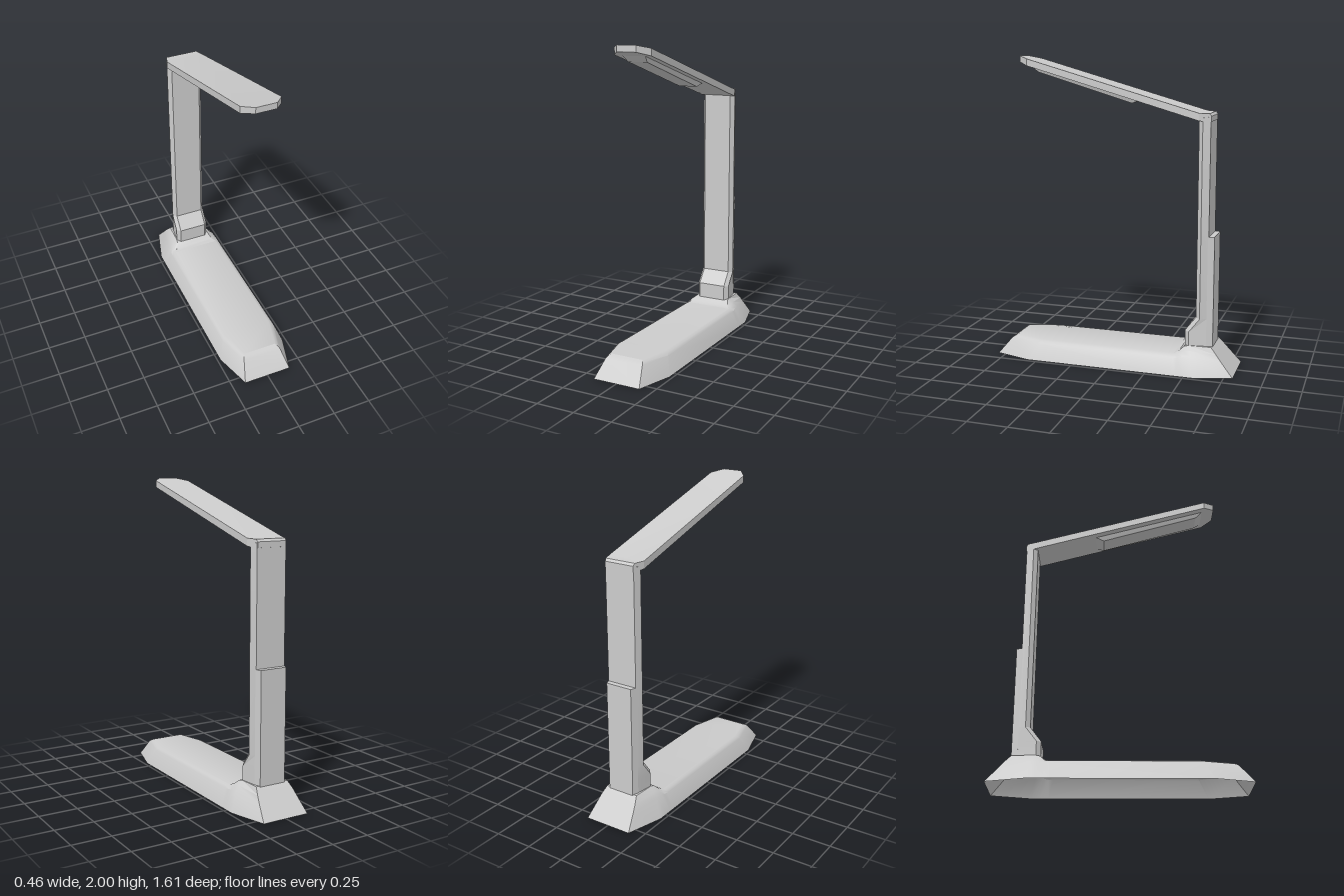
import * as THREE from 'three';
import { toCreasedNormals } from 'three/addons/utils/BufferGeometryUtils.js';

// Skins a list of closed rings; rings run counter-clockwise seen from the last one
function loft(rings, { sides = true, first = true, last = true, open = false, crease = 0.3 } = {}) {
  const n = rings[0].length, pos = [];
  const quad = (a, b, c, d) => [a, b, c, a, c, d].forEach((p) => pos.push(...p));
  const cap = (r, flip) => {
    for (let i = 0; i < n / 2 - 1; i++) {
      const q = [r[i], r[i + 1], r[n - 2 - i], r[n - 1 - i]];
      quad(...(flip ? q.reverse() : q));
    }
  };
  if (sides) {
    for (let k = 0; k < rings.length - 1; k++) {
      for (let i = 0; i < (open ? n - 1 : n); i++) {
        const j = (i + 1) % n;
        quad(rings[k][i], rings[k][j], rings[k + 1][j], rings[k + 1][i]);
      }
    }
  }
  if (first) cap(rings[0], true);
  if (last) cap(rings[rings.length - 1], false);
  const geo = new THREE.BufferGeometry();
  geo.setAttribute('position', new THREE.Float32BufferAttribute(pos, 3));
  return toCreasedNormals(geo, crease);
}

export function createModel() {
  const group = new THREE.Group();
  const solid = new THREE.MeshStandardMaterial({ color: 0xcccccc });
  const thin = new THREE.MeshStandardMaterial({ color: 0xcccccc, side: THREE.DoubleSide });
  const add = (name, geo, mat = solid) => {
    const mesh = new THREE.Mesh(geo, mat);
    mesh.name = name;
    group.add(mesh);
  };

  // Hollow base: arches from back to front, each [foot x, z], [shoulder x, y, z], [top x, y, z]
  const arches = [
    [[0.16, -0.805], [0.14, 0.09, -0.728], [0.115, 0.175, -0.655]],
    [[0.23, -0.56], [0.18, 0.122, -0.53], [0.12, 0.175, -0.51]],
    [[0.23, -0.5], [0.184, 0.118, -0.48], [0.125, 0.168, -0.48]],
    [[0.23, -0.45], [0.187, 0.112, -0.45], [0.14, 0.14, -0.45]],
    [[0.23, -0.42], [0.188, 0.11, -0.42], [0.16, 0.13, -0.425]],
    [[0.23, 0.56], [0.188, 0.11, 0.5], [0.16, 0.13, 0.48]],
    [[0.16, 0.805], [0.13, 0.11, 0.715], [0.11, 0.13, 0.68]],
  ].map(([b, s, t]) => {
    const mid = [(s[0] + t[0]) / 2 + 0.002, (s[1] + t[1]) / 2 + 0.002, (s[2] + t[2]) / 2];
    const half = [[b[0], 0, b[1]], s, mid, t];
    return [...half, ...half.map(([x, y, z]) => [-x, y, z]).reverse()];
  });
  add('baseShell', loft(arches, { open: true, first: false, last: false, crease: 0.5 }), thin);
  add('baseBackEnd', loft(arches, { sides: false, last: false }), thin);
  add('baseFrontEnd', loft(arches, { sides: false, first: false }), thin);

  // Column with chamfered front edges, widening into a foot
  const column = [[0.15, -0.48], [0.27, -0.48], [0.36, -0.55], [1.64, -0.55]].map(([y, z]) => [
    [-0.095, y, z], [0.095, y, z], [0.118, y - 0.005, z - 0.028],
    [0.102, y, -0.625], [-0.102, y, -0.625], [-0.118, y - 0.005, z - 0.028],
  ]);
  add('column', loft(column));

  // Flat rectangle tapering from front to back
  const slab = (y1, x1, z1, y2, x2, z2) => [[-x1, y1, z1], [x1, y1, z1], [x2, y2, z2], [-x2, y2, z2]];
  add('rearSleeve', loft([0.15, 0.89].map((y) => slab(y, 0.104, -0.62, y, 0.09, -0.66))));

  // Sloping lamp arm: z, half width, bottom y, top y
  const arm = [
    [-0.628, 0.1, 1.61, 1.645], [-0.615, 0.104, 1.608, 1.66], [-0.555, 0.125, 1.616, 1.663],
    [0.575, 0.125, 1.938, 1.982], [0.645, 0.065, 1.96, 2.0],
  ].map(([z, w, bottom, top]) => [[-w, bottom, z], [w, bottom, z], [w, top, z], [-w, top, z]]);
  add('lampArm', loft(arm));

  // Bevelled light panel under the arm
  add('lightPanel', loft([
    slab(1.897, 0.065, 0.52, 1.71, 0.065, -0.11),
    slab(1.942, 0.08, 0.57, 1.732, 0.08, -0.17),
  ]));

  return group;
}
